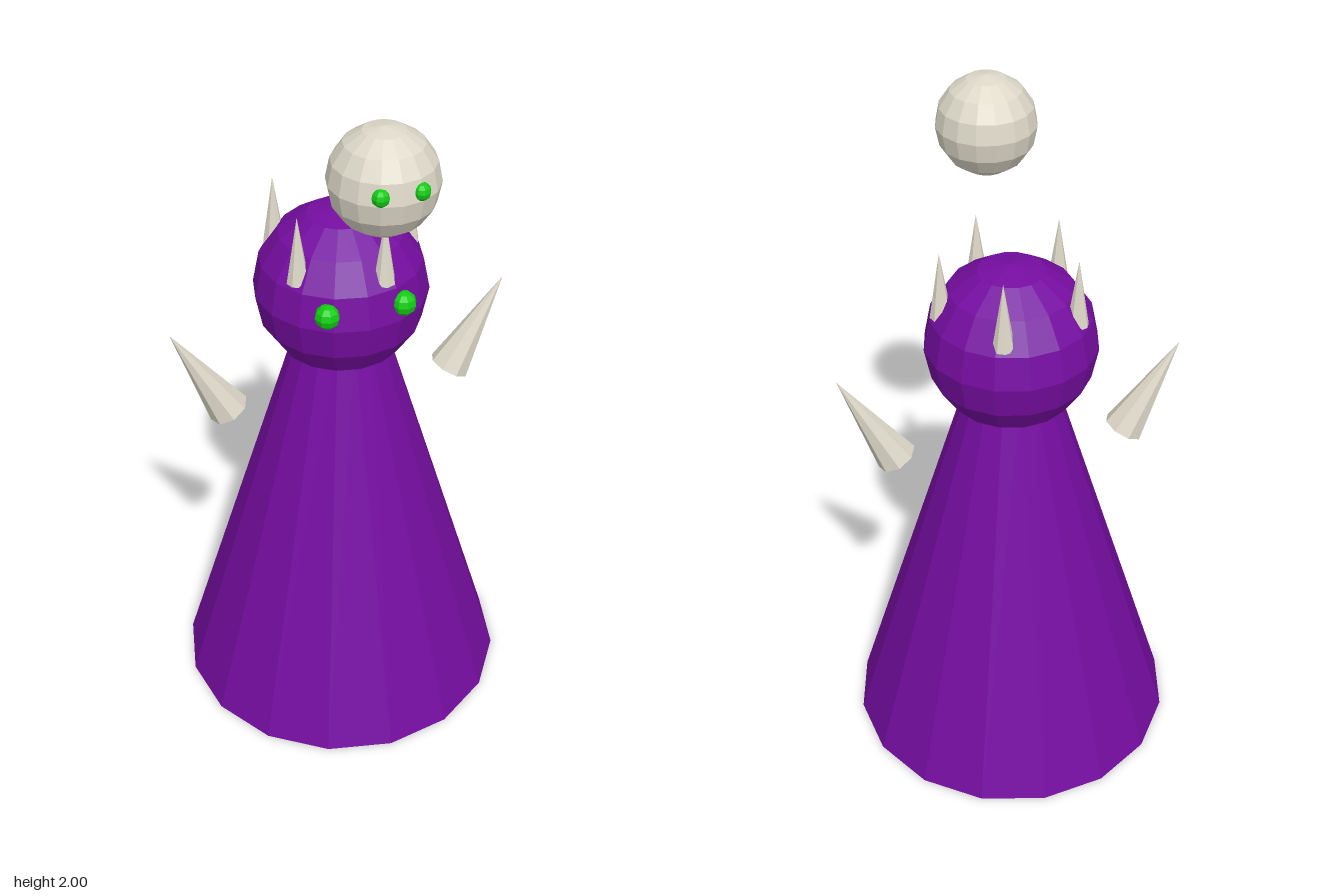
import * as THREE from 'three';

const paint = (color) => new THREE.MeshStandardMaterial({ color, flatShading: true });

export function createModel() {
  const model = new THREE.Group();
  const purple = paint(0x750da0);
  const bone = paint(0xddd8c8);
  const green = paint(0x11cc11);

  const add = (name, geometry, material, x, y, z) => {
    const mesh = new THREE.Mesh(geometry, material);
    mesh.name = name;
    mesh.position.set(x, y, z);
    model.add(mesh);
    return mesh;
  };

  // Robe and head
  add('robe', new THREE.CylinderGeometry(0.123, 0.493, 1.23, 16), purple, 0, 0.615, 0);
  add('head', new THREE.SphereGeometry(0.245, 16, 8), purple, 0, 1.362, 0);

  // Crown of five upright spikes
  const spike = new THREE.ConeGeometry(0.031, 0.195, 8);
  for (let i = 0; i < 5; i++) {
    const a = (i / 5) * Math.PI * 2;
    add('crownSpike', spike, bone, 0.194 * Math.cos(a), 1.564, 0.194 * Math.sin(a));
  }

  // Floating orb above the brow
  add('orb', new THREE.SphereGeometry(0.142, 16, 8), bone, 0, 1.858, 0.33);

  // Mirrored eyes and floating claw arms
  const headEye = new THREE.SphereGeometry(0.035, 8, 6);
  const orbEye = new THREE.SphereGeometry(0.023, 8, 6);
  const claw = new THREE.ConeGeometry(0.06, 0.32, 8);
  for (const [side, s] of [['left', 1], ['right', -1]]) {
    add(side + 'HeadEye', headEye, green, s * 0.107, 1.408, 0.212);
    add(side + 'OrbEye', orbEye, green, s * 0.051, 1.88, 0.453);
    add(side + 'Claw', claw, bone, s * 0.413, 1.15, 0).rotation.z = -s * 0.5;
  }
  return model;
}
